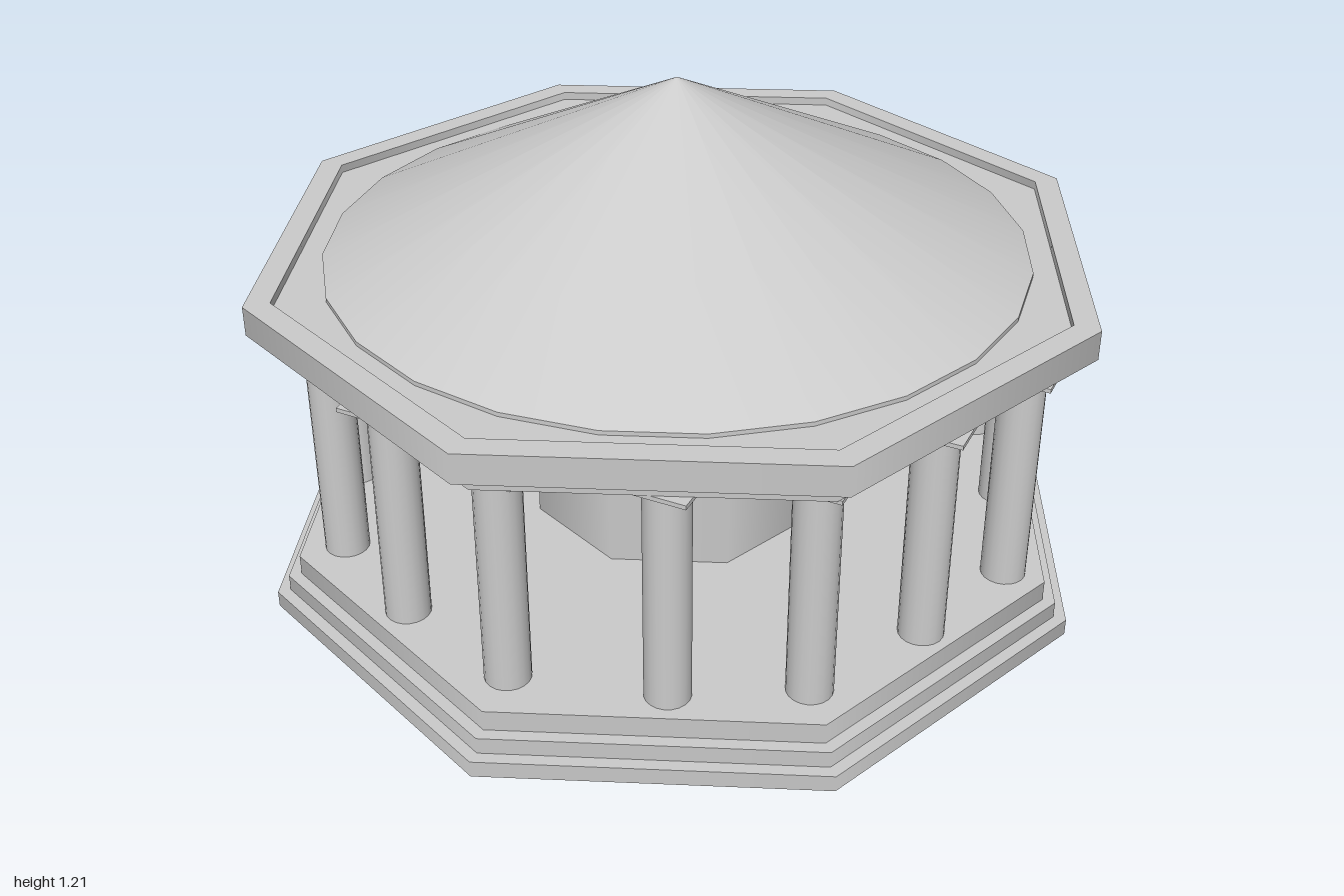
import * as THREE from 'three';

const stone = new THREE.MeshStandardMaterial({ color: 0xcccccc });
const thinStone = new THREE.MeshStandardMaterial({ color: 0xcccccc, side: THREE.DoubleSide });

export function createModel() {
  const model = new THREE.Group();
  model.name = 'rotunda';

  const add = (name, geometry, y, parent = model, material = stone) => {
    const mesh = new THREE.Mesh(geometry, material);
    mesh.name = name;
    mesh.position.y = y;
    parent.add(mesh);
    return mesh;
  };

  // Solid drum standing between two heights; eight sides, corners on the axes
  const drum = (name, radius, y0, y1, sides = 8) =>
    add(name, new THREE.CylinderGeometry(radius, radius, y1 - y0, sides), (y0 + y1) / 2);

  // Stepped base
  drum('lowerStep', 1, 0, 0.04);
  drum('middleStep', 0.97, 0.04, 0.08);
  drum('upperStep', 0.94, 0.08, 0.13);

  // Inner chamber
  drum('innerChamber', 0.355, 0.13, 0.69);

  // Entablature and cornice
  drum('entablature', 0.935, 0.69, 0.74);
  drum('cornice', 0.995, 0.74, 0.79);

  // Raised rim around the roof
  const rim = new THREE.Group();
  rim.name = 'roofRim';
  model.add(rim);
  const rimHeight = 0.02;
  for (const [name, radius] of [['rimOuterWall', 0.995], ['rimInnerWall', 0.935]]) {
    add(name, new THREE.CylinderGeometry(radius, radius, rimHeight, 8, 1, true), 0.8, rim, thinStone);
  }
  const rimTop = new THREE.RingGeometry(0.935, 0.995, 8);
  rimTop.rotateX(-Math.PI / 2);
  add('rimTop', rimTop, 0.81, rim);

  // Conical roof on a low footing
  drum('roofFooting', 0.815, 0.79, 0.8, 24);
  add('roof', new THREE.ConeGeometry(0.815, 0.41, 24), 1.005);

  // Columns at the corners and the middle of each side, as [x, z]
  const columnSpots = [
    [-0.01, 0.815], [0.325, 0.72], [0.59, 0.575], [0.74, 0.29],
    [0.84, 0], [0.74, -0.305], [0.585, -0.575], [0.325, -0.715],
    [-0.005, -0.815], [-0.27, -0.715], [-0.535, -0.575], [-0.735, -0.32],
    [-0.845, 0], [-0.74, 0.31], [-0.59, 0.575], [-0.325, 0.72],
  ];
  const shaft = new THREE.CylinderGeometry(0.052, 0.052, 0.54, 20);
  const flare = new THREE.CylinderGeometry(0.08 * Math.SQRT2, 0.055 * Math.SQRT2, 0.012, 4).toNonIndexed();
  flare.rotateY(Math.PI / 4);
  flare.computeVertexNormals();
  const slab = new THREE.BoxGeometry(0.16, 0.01, 0.16);

  for (const [x, z] of columnSpots) {
    const column = new THREE.Group();
    column.name = 'column';
    column.position.set(x, 0, z);
    add('columnShaft', shaft, 0.4, column);
    add('capitalFlare', flare, 0.674, column);
    add('capitalSlab', slab, 0.685, column);
    model.add(column);
  }

  return model;
}
